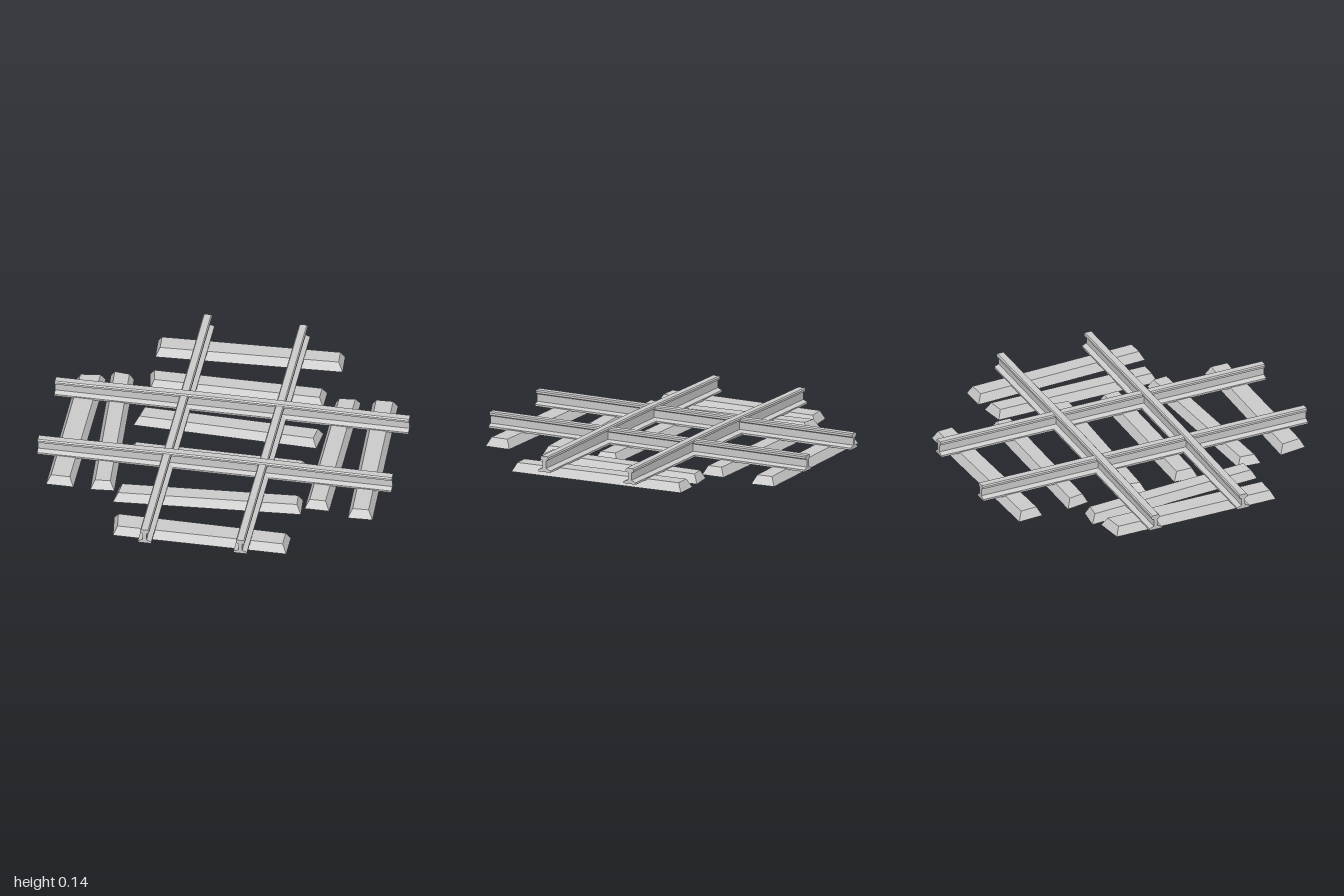
import * as THREE from 'three';

const material = new THREE.MeshStandardMaterial({ color: 0xcccccc, flatShading: true });
const SLEEPER_TOP = 0.05, BEVEL = 0.025;

// Half of the rail cross-section: [half width, height]
const railHalf = [
  [0.038, 0.045], [0.038, 0.056], [0.011, 0.067], [0.011, 0.109],
  [0.025, 0.116], [0.025, 0.128], [0.019, 0.135],
];

function railGeometry(rise) {
  const outline = [...railHalf, ...railHalf.map(([x, y]) => [-x, y]).reverse()];
  const shape = new THREE.Shape(outline.map(([x, y]) => new THREE.Vector2(x, y)));
  const geo = new THREE.ExtrudeGeometry(shape, { depth: 2, steps: 10, bevelEnabled: false });
  geo.translate(0, 0, -1);
  // The head crowns slightly towards the middle
  const p = geo.attributes.position;
  for (let i = 0; i < p.count; i++) {
    if (p.getY(i) > 0.1) p.setY(i, p.getY(i) + rise * (0.5 + 0.5 * Math.cos(Math.PI * p.getZ(i))));
  }
  geo.computeVertexNormals();
  return geo;
}

// Rough-cut beam: four ground corners [x, z], clockwise from above, tapering to a smaller top
function sleeperGeometry(corners) {
  const base = corners.map(([x, z]) => new THREE.Vector3(x, 0, z));
  const top = base.map((c, i) => {
    const next = base[(i + 1) % 4].clone().sub(c).setLength(BEVEL);
    const prev = base[(i + 3) % 4].clone().sub(c).setLength(BEVEL);
    return c.clone().add(next).add(prev).setY(SLEEPER_TOP);
  });
  const points = [];
  const quad = (a, b, c, d) => points.push(a, b, c, a, c, d);
  quad(top[0], top[3], top[2], top[1]);
  quad(base[0], base[1], base[2], base[3]);
  for (let i = 0; i < 4; i++) {
    const j = (i + 1) % 4;
    quad(base[j], base[i], top[i], top[j]);
  }
  const geo = new THREE.BufferGeometry().setFromPoints(points);
  geo.computeVertexNormals();
  return geo;
}

// Sleepers under the front-to-back track
const crossSleepers = [
  [[-0.53, -0.885], [0.52, -0.922], [0.53, -0.783], [-0.52, -0.738]],
  [[-0.52, -0.58], [0.48, -0.58], [0.48, -0.446], [-0.497, -0.446]],
  [[-0.505, -0.24], [0.524, -0.211], [0.508, -0.072], [-0.53, -0.104]],
  [[-0.503, 0.083], [0.487, 0.088], [0.497, 0.227], [-0.503, 0.227]],
  [[-0.508, 0.473], [0.519, 0.404], [0.53, 0.537], [-0.52, 0.607]],
  [[-0.487, 0.746], [0.513, 0.757], [0.513, 0.906], [-0.465, 0.906]],
];

// Sleepers under the left-to-right track
const sideSleepers = [
  [[-0.914, -0.468], [-0.754, -0.489], [-0.759, 0.511], [-0.914, 0.511]],
  [[-0.733, -0.532], [-0.599, -0.516], [-0.529, 0.505], [-0.663, 0.516]],
  [[0.54, -0.5], [0.679, -0.521], [0.679, 0.479], [0.54, 0.479]],
  [[0.743, -0.527], [0.888, -0.532], [0.93, 0.516], [0.791, 0.521]],
];

export function createModel() {
  const model = new THREE.Group();
  model.name = 'railCrossing';
  const add = (name, geo) => {
    const mesh = new THREE.Mesh(geo, material);
    mesh.name = name;
    model.add(mesh);
    return mesh;
  };

  crossSleepers.forEach((c, i) => add(`crossSleeper${i + 1}`, sleeperGeometry(c)));
  sideSleepers.forEach((c, i) => add(`sideSleeper${i + 1}`, sleeperGeometry(c)));

  // Two rails each way, crossing at the same level
  const straight = railGeometry(0), crowned = railGeometry(0.008);
  for (const s of [-1, 1]) {
    add(s < 0 ? 'rightLongRail' : 'leftLongRail', straight).position.x = 0.27 * s;
    const rail = add(s < 0 ? 'backCrossRail' : 'frontCrossRail', crowned);
    rail.rotation.y = Math.PI / 2;
    rail.position.z = 0.27 * s;
  }
  return model;
}
